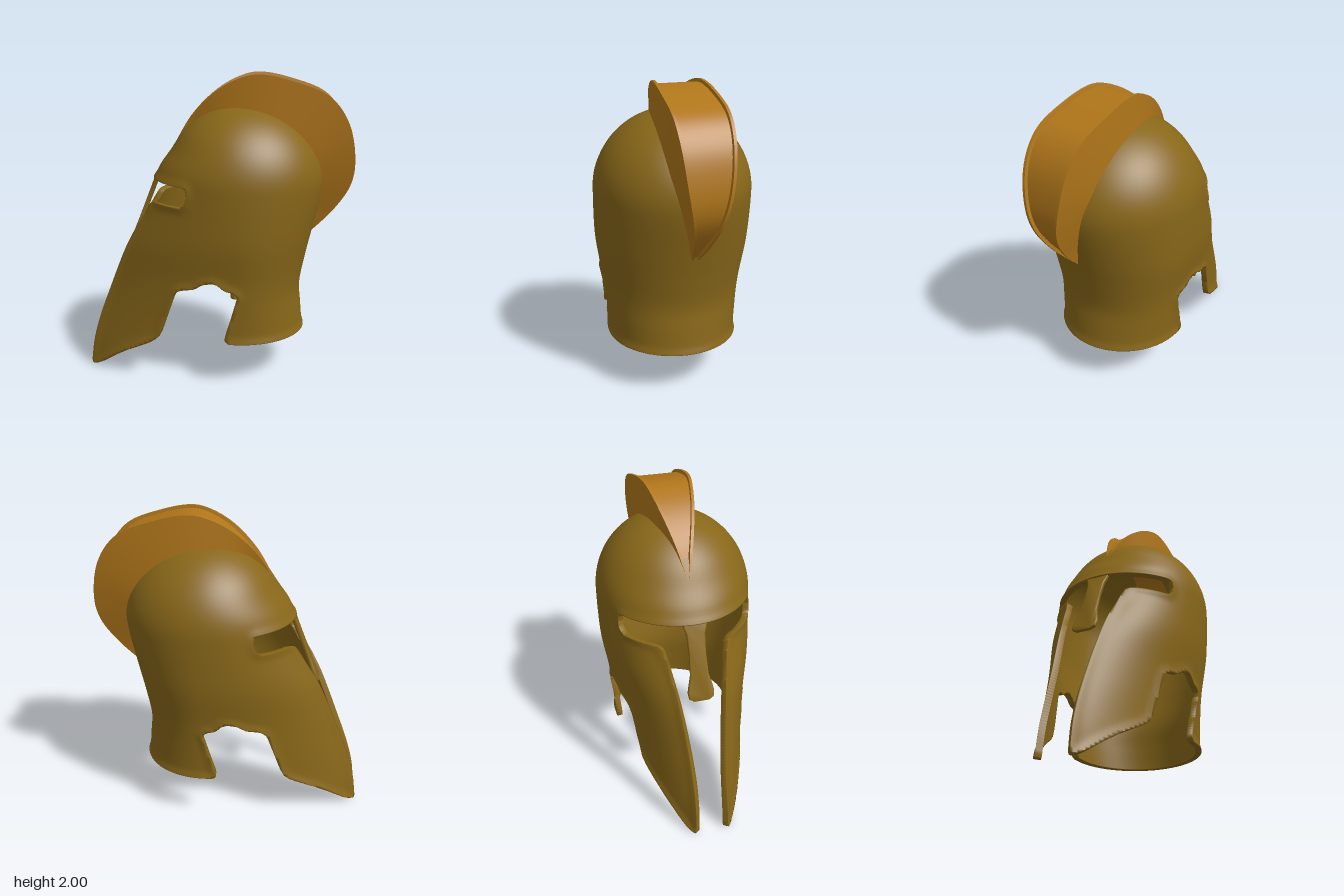
import * as THREE from 'three';
import { mergeVertices, toCreasedNormals } from 'three/addons/utils/BufferGeometryUtils.js';

const V = (x, y, z) => new THREE.Vector3(x, y, z);
const bronze = new THREE.MeshStandardMaterial({ color: 0x886719, side: THREE.DoubleSide });
const gold = new THREE.MeshStandardMaterial({ color: 0xb0761a, side: THREE.DoubleSide });

// Smooth value by height, from [y, value] pairs
function curve(pairs) {
  const c = new THREE.CubicInterpolant(pairs.map(p => p[0]), pairs.map(p => p[1]), 1, [0]);
  return y => c.evaluate(y)[0];
}
const CX = 0.15, CY = 1.3;
const front = curve([[-0.05, 1.115], [0, 1.104], [0.17, 1.076], [0.3, 1.036], [0.5, 0.958], [0.87, 0.8],
  [1.2, 0.62], [1.3, 0.58], [1.4, 0.55], [1.52, 0.505], [1.65, 0.5], [1.82, 0.5]]);
const back = curve([[-0.05, 0.425], [0.3, 0.425], [0.45, 0.413], [0.6, 0.402], [0.8, 0.435], [1, 0.48],
  [1.2, 0.525], [1.3, 0.54], [1.82, 0.54]]);
const width = curve([[-0.05, 0.42], [0.3, 0.42], [0.5, 0.433], [0.7, 0.453], [0.95, 0.492], [1.15, 0.503],
  [1.3, 0.505], [1.82, 0.505]]);
const taper = curve([[-0.05, 0.7], [0.17, 0.7], [0.5, 0.65], [0.9, 0.56], [1.3, 0.5], [1.82, 0.5]]);
const gap = curve([[-0.05, 0.1], [0.4, 0.1], [0.87, 0.145], [1.2, 0.2], [1.4, 0.22]]);

// Skull surface: r runs from crown to chin, a goes round from the face
function skull(r, a) {
  let y, s = 1;
  if (r < 0.35) {
    const phi = r / 0.35 * Math.PI / 2;
    y = CY + 0.51 * Math.cos(phi);
    s = Math.sin(phi);
  } else y = CY - (r - 0.35) / 0.65 * (CY + 0.03);
  const c = Math.cos(a), n = Math.sin(a), q = c > 0 ? taper(y) : 0.5;
  return V(CX - s * c * (c > 0 ? front(y) : back(y)), y,
    s * width(y) * Math.sign(n) * Math.pow(Math.abs(n), 2 * q));
}

// Side outline: cheek guard, ear notch, neck edge and eye slot
const outline = [[-0.885, 0.02], [-0.87, 0.003], [-0.84, 0.01], [-0.8, 0.035], [-0.7, 0.11], [-0.6, 0.175],
  [-0.43, 0.265], [-0.385, 0.3], [-0.36, 0.35], [-0.27, 0.61], [-0.25, 0.64], [-0.22, 0.658], [-0.13, 0.675],
  [-0.08, 0.71], [-0.02, 0.725], [0.025, 0.712], [0.055, 0.677], [0.125, 0.66], [0.145, 0.63], [0.1, 0.47],
  [0.06, 0.335], [0.065, 0.31], [0.085, 0.3], [2, 0.3], [2, 3], [-2, 3], [-2, 1.325], [-0.2, 1.325],
  [-0.178, 1.312], [-0.172, 1.27], [-0.19, 1.22], [-0.22, 1.2], [-0.39, 1.2], [-0.42, 1.185], [-0.45, 1.14],
  [-0.9, 0.6], [-2, 0.3], [-2, 0.02]];

// Signed distance to the trimmed edge, positive on the metal
function inside(p) {
  let d = Infinity, sign = -1;
  outline.forEach(([ax, ay], i) => {
    const [bx, by] = outline[(i + 1) % outline.length];
    const ex = bx - ax, ey = by - ay, px = p.x - ax, py = p.y - ay;
    const t = THREE.MathUtils.clamp((px * ex + py * ey) / (ex * ex + ey * ey), 0, 1);
    d = Math.min(d, Math.hypot(px - ex * t, py - ey * t));
    if ((ay > p.y) !== (by > p.y) && px < ex * py / ey) sign = -sign;
  });
  d *= sign;
  return p.x < 0 && p.y < 1.262 ? Math.min(d, Math.abs(p.z) - gap(p.y)) : d;
}

// Helmet shell: a two-sided sheet clipped along its edges, with a raised lip
function shellGeometry() {
  const R = 104, N = 180, e = 1e-4, grid = [], pos = [];
  for (let i = 0; i <= R; i++) {
    const row = [], r = Math.max(i / R, 0.004);
    for (let j = 0; j < N; j++) {
      const a = (j + 0.5) / N * Math.PI * 2, p = skull(r, a);
      const down = skull(r + e, a).sub(skull(r - e, a));
      const n = down.cross(skull(r, a + e).sub(skull(r, a - e))).normalize();
      const f = inside(p), lip = 0.011 * Math.exp(-((f / 0.028) ** 2));
      row.push({ f, o: p.clone().addScaledVector(n, lip), i: p.clone().addScaledVector(n, -0.028) });
    }
    grid.push(row);
  }
  const tri = (...ps) => ps.forEach(p => pos.push(p.x, p.y, p.z));
  function clip(t) {
    const poly = [];
    t.forEach((a, k) => {
      const b = t[(k + 1) % 3];
      if (a.f >= 0) poly.push(a);
      if ((a.f >= 0) !== (b.f >= 0)) {
        const u = a.f / (a.f - b.f);
        poly.push({ cut: true, o: a.o.clone().lerp(b.o, u), i: a.i.clone().lerp(b.i, u) });
      }
    });
    for (let k = 1; k + 1 < poly.length; k++) {
      tri(poly[0].o, poly[k].o, poly[k + 1].o);
      tri(poly[0].i, poly[k + 1].i, poly[k].i);
    }
    poly.forEach((a, k) => {
      const b = poly[(k + 1) % poly.length];
      if (a.cut && b.cut) { tri(a.o, a.i, b.i); tri(a.o, b.i, b.o); }
    });
  }
  for (let i = 0; i < R; i++) for (let j = 0; j < N; j++) {
    const k = (j + 1) % N, a = grid[i][j], b = grid[i + 1][j], c = grid[i + 1][k], d = grid[i][k];
    clip([a, b, c]);
    clip([a, c, d]);
  }
  let g = new THREE.BufferGeometry();
  g.setAttribute('position', new THREE.Float32BufferAttribute(pos, 3));
  g = mergeVertices(g, 1e-4);
  g.computeVertexNormals();
  return g;
}

// Nose guard: flared plate leaning forward from the brow
function nasalGeometry() {
  const half = [[0.045, 0], [0.07, 0.015], [0.076, 0.05], [0.065, 0.1], [0.05, 0.16], [0.045, 0.3], [0.05, 0.42], [0.075, 0.5]];
  const pts = [...half, ...half.map(([x, y]) => [-x, y]).reverse()].map(p => new THREE.Vector2(...p));
  const g = new THREE.ExtrudeGeometry(new THREE.Shape(pts),
    { depth: 0.012, bevelThickness: 0.007, bevelSize: 0.009, bevelSegments: 3 });
  g.rotateY(-Math.PI / 2).rotateZ(-Math.atan2(0.185, 0.47)).translate(-0.579, 0.873, 0);
  return toCreasedNormals(g, 0.7);
}

// Crest: lens-shaped fin with a rimmed, recessed top
function crestGeometry() {
  const spline = pts => new THREE.SplineCurve(pts.map(p => new THREE.Vector2(...p)));
  const outer = spline([[-0.275, 1.57], [-0.17, 1.74], [-0.03, 1.88], [0.12, 1.968], [0.27, 2], [0.48, 1.958],
    [0.7, 1.87], [0.83, 1.7], [0.88, 1.47], [0.86, 1.29], [0.76, 1.12], [0.625, 0.97]]);
  const base = spline([[-0.26, 1.57], [-0.14, 1.69], [-0.02, 1.76], [0.1, 1.8], [0.23, 1.805], [0.38, 1.765],
    [0.52, 1.67], [0.63, 1.53], [0.68, 1.4], [0.68, 1.26], [0.655, 1.12], [0.62, 0.97]]);
  const half = curve([[0, 0.008], [0.1, 0.06], [0.2, 0.11], [0.3, 0.143], [0.42, 0.167], [0.55, 0.172],
    [0.66, 0.155], [0.75, 0.125], [0.84, 0.09], [0.92, 0.055], [1, 0.022]]);
  const M = 72, pos = [], idx = [];
  for (let i = 0; i <= M; i++) {
    const t = i / M, o = outer.getPoint(t), b = base.getPoint(t), w = half(t);
    const dir = b.clone().sub(new THREE.Vector2(CX, CY)).normalize();
    b.addScaledVector(dir, -(w * w + 0.012));
    const lip = Math.min(0.018, w * 0.45), tan = outer.getTangent(t);
    const low = o.clone().add(new THREE.Vector2(tan.y, -tan.x).multiplyScalar(lip * 1.1));
    const ring = [[b, w], [o, w], [o, w - lip], [low, w - lip * 1.2]];
    [...ring, ...ring.map(([p, z]) => [p, -z]).reverse()].forEach(([p, z]) => pos.push(p.x, p.y, z));
  }
  for (let i = 0; i < M; i++) for (let k = 0; k < 8; k++) {
    const a = i * 8 + k, b = i * 8 + (k + 1) % 8;
    idx.push(a, a + 8, b, b, a + 8, b + 8);
  }
  for (let k = 1; k < 7; k++) idx.push(0, k, k + 1, M * 8, M * 8 + k + 1, M * 8 + k);
  const g = new THREE.BufferGeometry();
  g.setAttribute('position', new THREE.Float32BufferAttribute(pos, 3));
  g.setIndex(idx);
  return toCreasedNormals(g, 0.6);
}

export function createModel() {
  const group = new THREE.Group();
  group.name = 'helmet';
  const add = (name, geometry, material) => {
    const mesh = new THREE.Mesh(geometry, material);
    mesh.name = name;
    group.add(mesh);
  };
  add('helmetShell', shellGeometry(), bronze);
  add('noseGuard', nasalGeometry(), bronze);
  add('crest', crestGeometry(), gold);
  return group;
}
